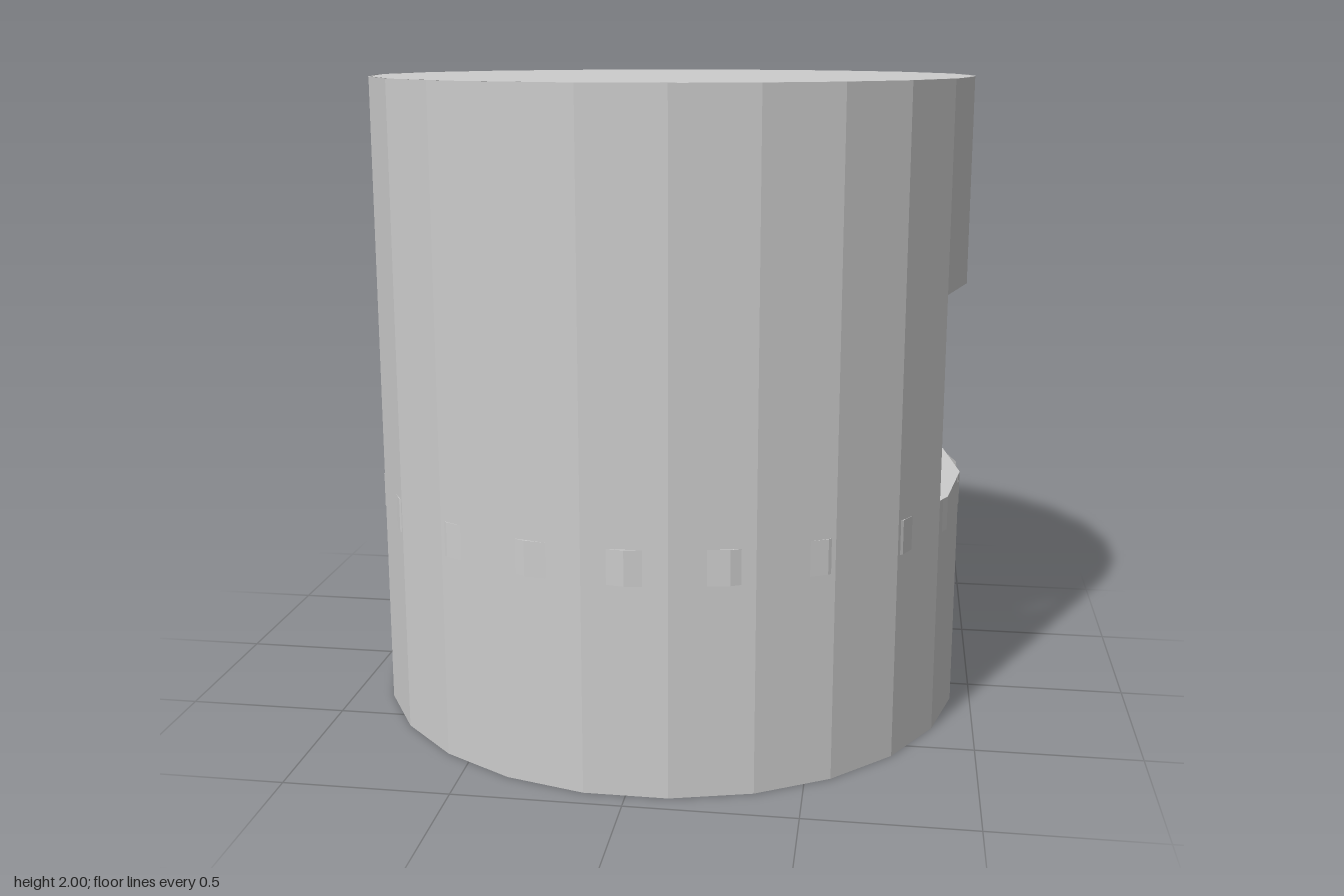
import * as THREE from 'three';

const R = 0.945, HEIGHT = 2, SILL = 0.737, LINTEL = 1.374;
const STEP = Math.PI / 12; // the wall has 24 flat panels

export function createModel() {
  const model = new THREE.Group();
  const grey = new THREE.MeshStandardMaterial({ color: 0xcccccc, flatShading: true, side: THREE.DoubleSide });
  grey.name = 'lightGrey';

  const add = (name, geometry, y) => {
    const mesh = new THREE.Mesh(geometry, grey);
    mesh.name = name;
    mesh.position.y = y;
    model.add(mesh);
  };

  // Thin open wall band from y0 to y1, covering a number of panels
  const addWall = (name, y0, y1, firstEdge, panels) => add(
    name,
    new THREE.CylinderGeometry(R, R, y1 - y0, panels, 1, true, firstEdge, panels * STEP),
    (y0 + y1) / 2
  );

  // Wall in three bands; the middle one leaves three panels open on the +x side
  addWall('lowerWall', 0, SILL, STEP / 2, 24);
  addWall('windowWall', SILL, LINTEL, STEP * 7.5, 21);
  addWall('upperWall', LINTEL, HEIGHT, STEP / 2, 24);

  // Raised floor slab whose corners just poke through the wall
  add('floorSlab', new THREE.CylinderGeometry(R, R, 0.105, 20), SILL - 0.0525);

  // Flat roof sheet
  add('roof', new THREE.CircleGeometry(R, 18).rotateX(-Math.PI / 2), HEIGHT);

  return model;
}
